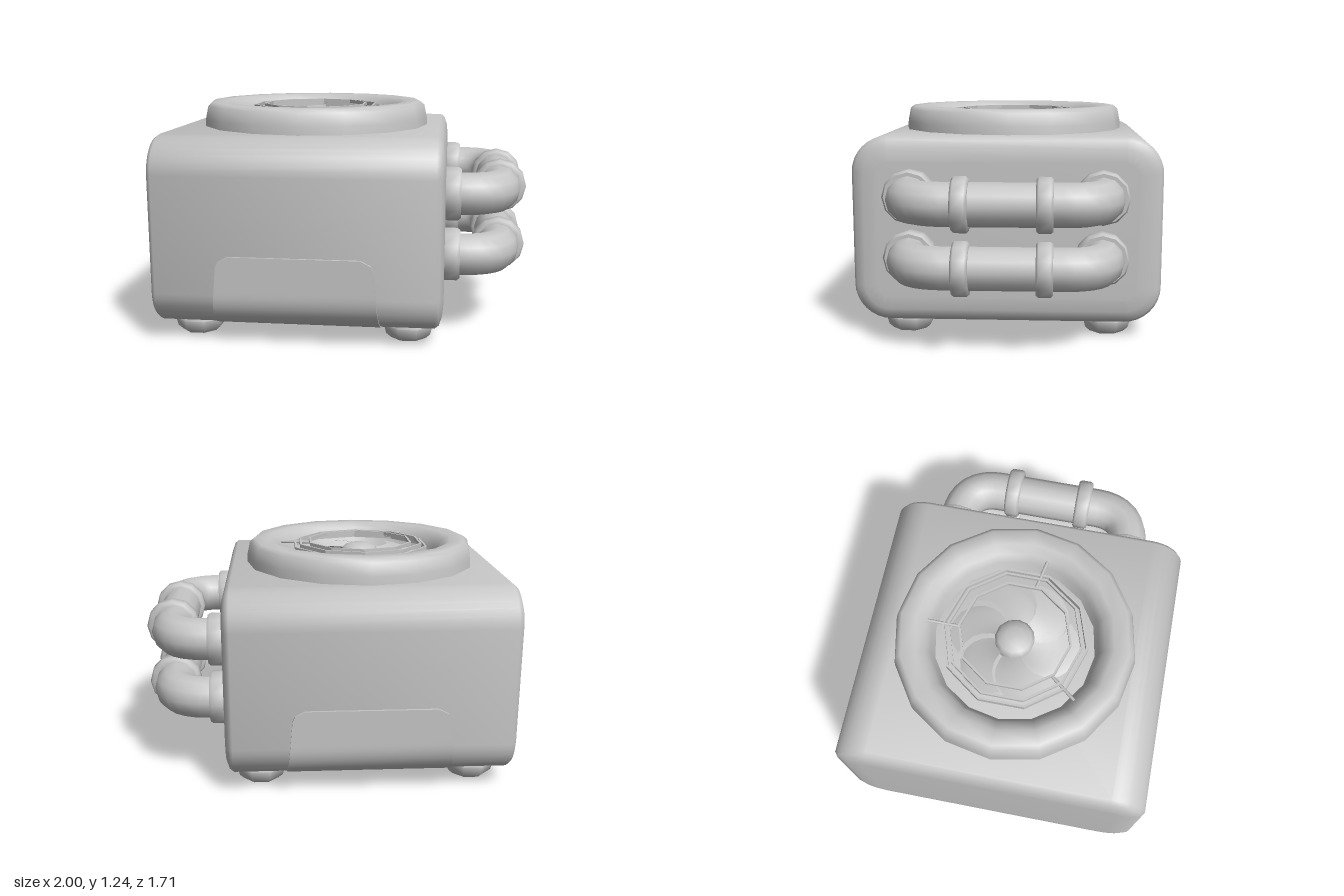
import * as THREE from 'three';
import { toCreasedNormals } from 'three/addons/utils/BufferGeometryUtils.js';

const V = (x, y, z) => new THREE.Vector3(x, y, z);

export function createModel() {
  const model = new THREE.Group();
  model.name = 'coolingUnit';
  const grey = new THREE.MeshStandardMaterial({ color: 0xc6c6c6 });
  grey.name = 'plainGrey';
  const greyThin = grey.clone(); // same colour, for thin open surfaces
  greyThin.side = THREE.DoubleSide;

  const add = (parent, name, geo, x = 0, y = 0, z = 0, mat = grey) => {
    const mesh = new THREE.Mesh(geo, mat);
    mesh.name = name;
    mesh.position.set(x, y, z);
    parent.add(mesh);
    return mesh;
  };
  const lathe = (pts, sides, crease = 0.9) =>
    toCreasedNormals(new THREE.LatheGeometry(pts.map(p => new THREE.Vector2(...p)), sides), crease);

  // Casing: rounded side profile extruded across x, with shallow bevelled ends
  const inset = 0.13, halfZ = 0.84 - inset, y0 = 0.09 + inset, y1 = 1.105 - inset, r = 0.07;
  const s = new THREE.Shape();
  s.moveTo(-halfZ + r, y0);
  s.lineTo(halfZ - r, y0);
  s.absarc(halfZ - r, y0 + r, r, -Math.PI / 2, 0);
  s.lineTo(halfZ, y1 - r);
  s.absarc(halfZ - r, y1 - r, r, 0, Math.PI / 2);
  s.lineTo(-halfZ + r, y1);
  s.absarc(-halfZ + r, y1 - r, r, Math.PI / 2, Math.PI);
  s.lineTo(-halfZ, y0 + r);
  s.absarc(-halfZ + r, y0 + r, r, Math.PI, Math.PI * 1.5);
  const casing = new THREE.ExtrudeGeometry(s, {
    depth: 1.465, bevelThickness: 0.045, bevelSize: inset, bevelSegments: 3, curveSegments: 4,
  });
  casing.translate(0, 0, -0.7325).rotateY(Math.PI / 2);
  add(model, 'casing', toCreasedNormals(casing, 0.95), -0.22);

  // Raised panels low on the front and back, following the rounded bottom edge
  const casingZ = y => {
    const d = Math.max(0, 0.29 - y);
    return 0.64 + Math.sqrt(Math.max(0, 0.04 - d * d));
  };
  const panelGeo = new THREE.BoxGeometry(1, 0.39, 1, 1, 14, 1);
  const p = panelGeo.attributes.position;
  for (let i = 0; i < p.count; i++) {
    const y = p.getY(i) + 0.3;
    const c = Math.max(0, y - 0.435) / 0.06; // rounds the top corners
    const half = 0.44 - 0.1 * (y - 0.105) * 0.9 - 0.06 * (1 - Math.sqrt(Math.max(0, 1 - c * c)));
    p.setXYZ(i, Math.sign(p.getX(i)) * half, y, casingZ(y) + (p.getZ(i) > 0 ? 0.014 : -0.04));
  }
  const panel = toCreasedNormals(panelGeo, 0.6);
  add(model, 'frontPanel', panel, -0.21);
  add(model, 'backPanel', panel, -0.21).rotation.y = Math.PI;

  // Feet
  const foot = lathe([[0, 0.005], [0.1, 0.005], [0.128, 0.03], [0.142, 0.08], [0.13, 0.11], [0, 0.11]], 8);
  foot.rotateY(Math.PI / 8);
  for (const x of [-0.79, 0.37])
    for (const z of [-0.555, 0.555]) add(model, 'foot', foot, x, 0, z);

  // Pair of pipe loops on the left side, with end flanges and clamp bands
  const path = new THREE.CurvePath();
  const px = 0.848, pz = 0.515, bend = 0.2;
  path.add(new THREE.LineCurve3(V(0.5, 0, pz), V(px - bend, 0, pz)));
  path.add(new THREE.QuadraticBezierCurve3(V(px - bend, 0, pz), V(px - 0.01, 0, pz - 0.01), V(px, 0, pz - bend)));
  path.add(new THREE.LineCurve3(V(px, 0, pz - bend), V(px, 0, bend - pz)));
  path.add(new THREE.QuadraticBezierCurve3(V(px, 0, bend - pz), V(px - 0.01, 0, 0.01 - pz), V(px - bend, 0, -pz)));
  path.add(new THREE.LineCurve3(V(px - bend, 0, -pz), V(0.5, 0, -pz)));
  const pipe = new THREE.TubeGeometry(path, 36, 0.115, 12, false);
  const band = h => lathe([[0.1, -h], [0.134, -h], [0.145, -h * 0.7], [0.145, h * 0.7], [0.134, h], [0.1, h]], 12);
  const flange = band(0.05).rotateZ(-Math.PI / 2);
  const clamp = band(0.043).rotateX(Math.PI / 2);
  for (const y of [0.79, 0.46]) {
    const loop = new THREE.Group();
    loop.name = 'pipeLoop';
    loop.position.y = y;
    model.add(loop);
    add(loop, 'pipe', pipe);
    for (const side of [-1, 1]) {
      add(loop, 'pipeFlange', flange, 0.588, 0, side * pz);
      add(loop, 'pipeClamp', clamp, 0.855, 0, side * 0.213);
    }
  }

  // Fan housing on top
  const fan = new THREE.Group();
  fan.name = 'topFan';
  fan.position.set(-0.215, 0, 0);
  model.add(fan);
  add(fan, 'fanRim', lathe([
    [0.655, 1.08], [0.65, 1.15], [0.635, 1.22], [0.61, 1.24], [0.53, 1.24], [0.48, 1.215], [0.455, 1.16], [0.43, 1.09],
  ], 16, 1.2));

  // Guard: flat ten-sided rings held by short rods
  const ring = (name, radius, y, height) => {
    const w = 0.012;
    add(fan, name, lathe([
      [radius - w, y - height], [radius, y - height], [radius, y], [radius - w, y], [radius - w, y - height],
    ], 10, 0.3));
  };
  ring('guardRingOuter', 0.395, 1.205, 0.035);
  ring('guardRingMiddle', 0.365, 1.22, 0.02);
  ring('guardRingInner', 0.305, 1.225, 0.02);
  const rod = new THREE.CylinderGeometry(0.009, 0.009, 0.18, 6).rotateZ(Math.PI / 2).translate(0.385, 1.2, 0);
  for (const a of [-0.2, Math.PI / 2, 4.05]) add(fan, 'guardRod', rod).rotation.y = a;

  // Hub and six swept, pitched blades
  add(fan, 'fanHub', lathe([[0.105, 1.09], [0.108, 1.165], [0.09, 1.19], [0.05, 1.205], [0, 1.208]], 12));
  const blade = new THREE.PlaneGeometry(1, 1, 5, 5);
  const b = blade.attributes.position;
  for (let i = 0; i < b.count; i++) {
    const u = b.getX(i) + 0.5, v = b.getY(i) + 0.5;
    const radius = 0.09 + 0.26 * u - 0.04 * u * (2 * v - 1) ** 2;
    const angle = 0.5 * u * u + (v - 0.5) * 0.98;
    b.setXYZ(i, radius * Math.cos(angle), 1.145 + (v - 0.5) * 0.05, -radius * Math.sin(angle));
  }
  blade.computeVertexNormals();
  for (let i = 0; i < 6; i++) add(fan, 'fanBlade', blade, 0, 0, 0, greyThin).rotation.y = (i * Math.PI) / 3;

  return model;
}
